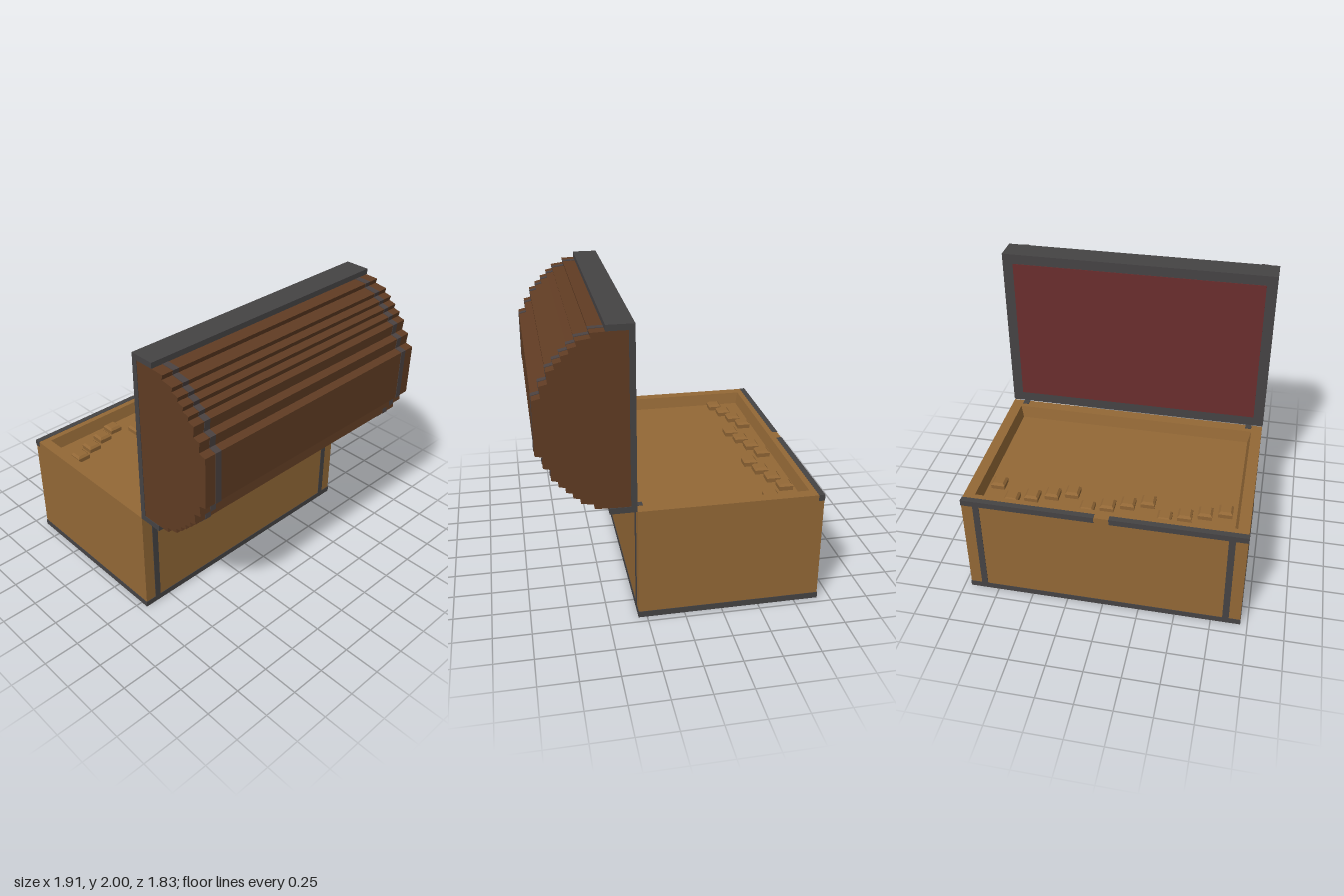
import * as THREE from 'three';

const mat = (name, color) => {
  const m = new THREE.MeshStandardMaterial({ color });
  m.name = name;
  return m;
};

// Stacks rectangular rings [halfX, halfZ, y] from outside bottom to inside centre
function rectLoft(rings, cx = 0, cz = 0) {
  const corners = [[1, 1], [1, -1], [-1, -1], [-1, 1]];
  const pos = [];
  const pt = ([hx, hz, y], k) => {
    const [sx, sz] = corners[k % 4];
    return [cx + sx * hx, y, cz + sz * hz];
  };
  for (let r = 0; r < rings.length - 1; r++) {
    for (let k = 0; k < 4; k++) {
      const a = pt(rings[r], k), b = pt(rings[r], k + 1);
      const c = pt(rings[r + 1], k + 1), d = pt(rings[r + 1], k);
      pos.push(...a, ...b, ...c, ...a, ...c, ...d);
    }
  }
  const g = new THREE.BufferGeometry();
  g.setAttribute('position', new THREE.Float32BufferAttribute(pos, 3));
  g.computeVertexNormals();
  return g;
}

export function createModel() {
  const root = new THREE.Group();
  root.name = 'openChest';
  const wood = mat('light wood', 0x936836);
  const lidWood = mat('dark wood', 0x603c23);
  const metal = mat('dark iron', 0x454344);
  const strapMetal = mat('lid strap iron', 0x4b4241);
  const lining = mat('red lining', 0x6a2e2e);

  const add = (name, geo, material, parent) => {
    const m = new THREE.Mesh(geo, material);
    m.name = name;
    parent.add(m);
    return m;
  };
  // Box given by its minimum and maximum on each axis
  const block = (name, x0, x1, y0, y1, z0, z1, material, parent) => {
    const m = add(name, new THREE.BoxGeometry(x1 - x0, y1 - y0, z1 - z0), material, parent);
    m.position.set((x0 + x1) / 2, (y0 + y1) / 2, (z0 + z1) / 2);
    return m;
  };

  // Chest base with a shallow tray in its top
  const base = new THREE.Group();
  base.name = 'base';
  root.add(base);
  const floorY = 0.70;
  add('body', rectLoft([
    [0.95, 0.608, 0.04], [0.95, 0.608, 0.785],
    [0.875, 0.53, 0.785], [0.855, 0.51, floorY], [0, 0, floorY],
  ], 0, -0.304), wood, base);
  block('bottomBand', -0.953, 0.953, 0, 0.042, -0.915, 0.307, metal, base);

  // Rim iron along the open edge, with a gap at the middle
  for (const s of [-1, 1]) {
    const a = s * 0.05, b = s * 0.953;
    block('rimIron', Math.min(a, b), Math.max(a, b), 0.745, 0.787, -0.915, -0.875, metal, base);
    // Vertical straps and hinge tabs
    const x0 = s * 0.85 - 0.022, x1 = s * 0.85 + 0.022;
    block('frontStrap', x0, x1, 0.03, 0.785, 0.302, 0.307, metal, base);
    block('backStrap', x0, x1, 0.03, 0.785, -0.915, -0.91, metal, base);
    block('hingeTab', x0, x1, 0.782, 0.788, 0.26, 0.307, metal, base);
  }

  // Rows of small rounded studs on the tray floor
  const rowZ = [-0.61, -0.652, -0.697, -0.742];
  for (let i = 0; i < 13; i++) {
    add('stud', rectLoft([
      [0.046, 0.046, floorY], [0.048, 0.048, floorY + 0.03],
      [0.034, 0.034, floorY + 0.045], [0, 0, floorY + 0.045],
    ], -0.78 + i * 0.13, rowZ[i % 4]), wood, base);
  }

  // Raised lid with a stepped barrel profile
  const lid = new THREE.Group();
  lid.name = 'lid';
  root.add(lid);
  const midY = 1.395, backZ = 0.307;
  const stepZ = [0.57, 0.652, 0.697, 0.74, 0.782, 0.825, 0.87, 0.915];
  const stepY = [0.562, 0.518, 0.475, 0.433, 0.39, 0.345, 0.26, 0.175];
  const upper = [[0.32, 0.57]];
  stepZ.forEach((z, i) => {
    upper.push([z, stepY[i]]);
    if (i < 7) upper.push([z - 0.007, stepY[i + 1] + 0.012]);
  });
  const profile = [...upper, ...upper.slice().reverse().map(([z, h]) => [z, -h])];

  // Extrudes the profile along x, grown outward by a small amount
  const barrel = (width, x, grow) => {
    const shape = new THREE.Shape(profile.map(([z, h]) =>
      new THREE.Vector2(-(z + grow), h + Math.sign(h) * grow)));
    const g = new THREE.ExtrudeGeometry(shape, { depth: width, bevelEnabled: false });
    g.translate(0, 0, -width / 2);
    g.rotateY(Math.PI / 2);
    // After the turn, shape x lies on -z and depth lies on x
    g.translate(x, midY, 0);
    return g;
  };
  add('lidBarrel', barrel(1.9, 0, 0), lidWood, lid);
  for (const s of [-1, 1]) add('lidStrap', barrel(0.044, s * 0.85, 0.003), strapMetal, lid);

  // Iron frame around the lid mouth, plus its top and bottom ledges
  block('lidFrame', -0.953, 0.953, 0.787, 2, backZ, 0.345, metal, lid);
  block('topLedge', -0.953, 0.953, 1.962, 2, backZ, 0.48, metal, lid);
  block('bottomLedge', -0.953, 0.953, 0.787, 0.828, backZ, 0.48, metal, lid);
  block('lidLining', -0.88, 0.88, 0.86, 1.93, backZ - 0.003, backZ + 0.003, lining, lid);

  return root;
}
